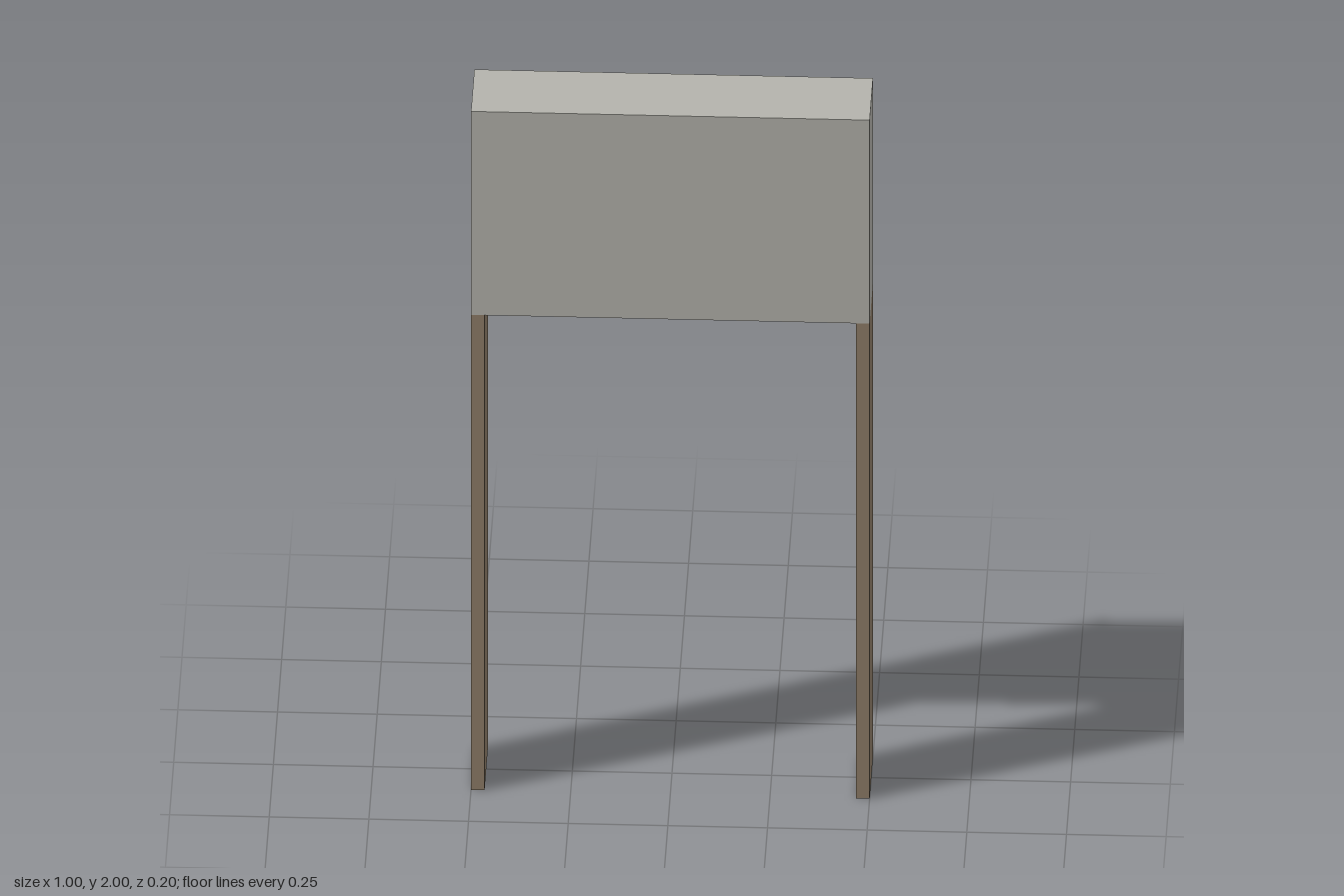
import * as THREE from 'three';

export function createModel() {
  const model = new THREE.Group();
  const grey = new THREE.MeshStandardMaterial({ color: 0xb4b3ac });
  grey.name = 'stone grey';
  const brown = new THREE.MeshStandardMaterial({ color: 0x8f7d68 });
  brown.name = 'wood brown';

  const width = 1, depth = 0.2, legHeight = 1.4, legWidth = 0.034, panelHeight = 0.6;

  const addBox = (name, w, h, x, y, material) => {
    const mesh = new THREE.Mesh(new THREE.BoxGeometry(w, h, depth), material);
    mesh.name = name;
    mesh.position.set(x, y, 0);
    model.add(mesh);
  };

  // Solid upper panel
  addBox('panel', width, panelHeight, 0, legHeight + panelHeight / 2, grey);

  // Thin plank legs, flush with the panel's ends
  for (const [name, side] of [['leftLeg', 1], ['rightLeg', -1]]) {
    addBox(name, legWidth, legHeight, side * (width - legWidth) / 2, legHeight / 2, brown);
  }

  return model;
}
